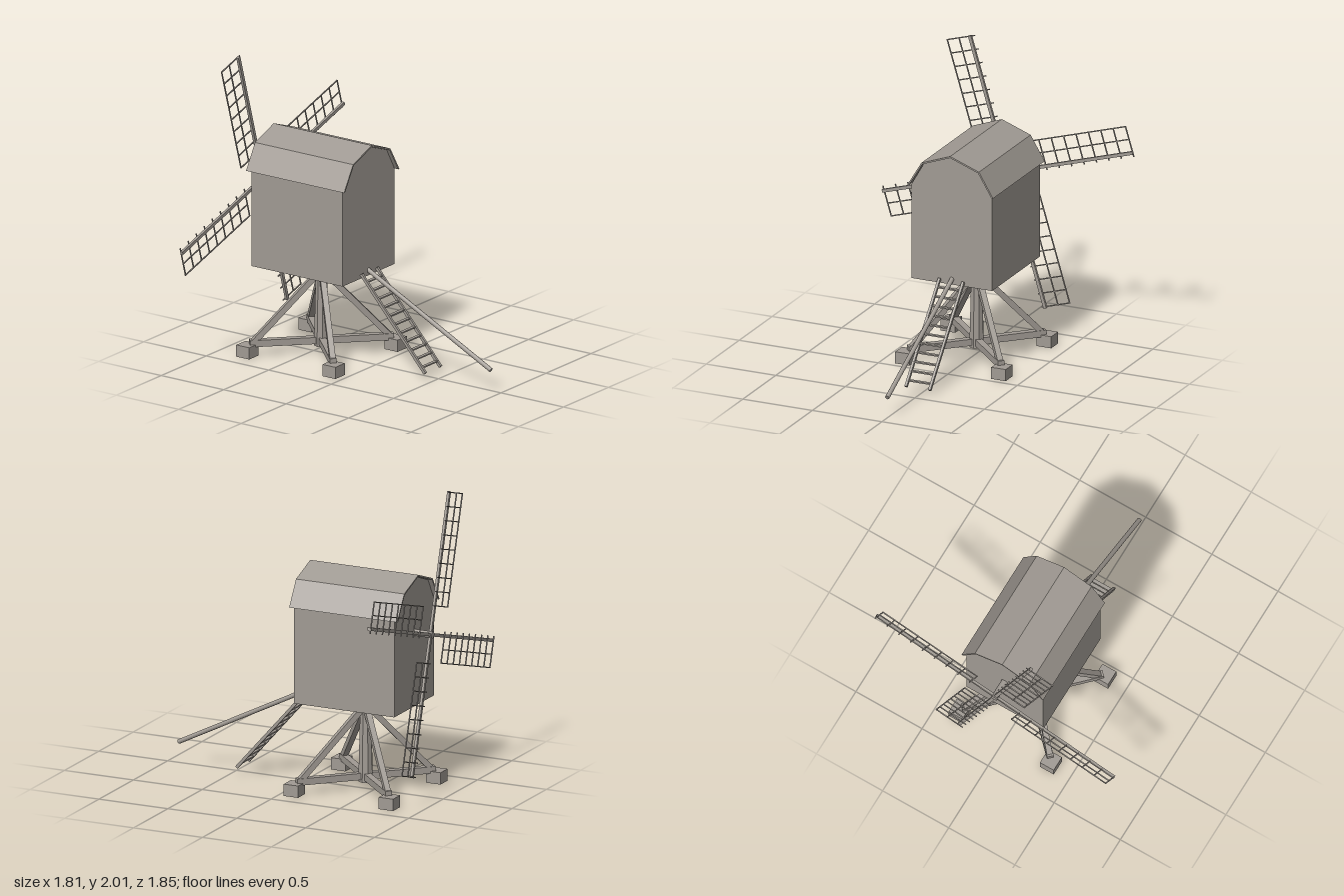
import * as THREE from 'three';

const weathered = new THREE.MeshStandardMaterial({ color: 0xa09a93 });
weathered.name = 'weathered wood';

const V = (x, y, z) => new THREE.Vector3(x, y, z);

function add(parent, name, geometry, x = 0, y = 0, z = 0) {
  const mesh = new THREE.Mesh(geometry, weathered);
  mesh.name = name;
  mesh.position.set(x, y, z);
  parent.add(mesh);
  return mesh;
}

const box = (parent, name, w, h, d, x, y, z) =>
  add(parent, name, new THREE.BoxGeometry(w, h, d), x, y, z);

// Square timber between two points; its local x stays level
function beam(parent, name, a, b, w, h = w) {
  const mid = a.clone().add(b).multiplyScalar(0.5);
  const mesh = box(parent, name, w, h, a.distanceTo(b), mid.x, mid.y, mid.z);
  mesh.lookAt(b);
  return mesh;
}

// Round pole between two points
function pole(parent, name, a, b, r) {
  const mid = a.clone().add(b).multiplyScalar(0.5);
  const mesh = add(parent, name, new THREE.CylinderGeometry(r, r, a.distanceTo(b), 10), mid.x, mid.y, mid.z);
  mesh.quaternion.setFromUnitVectors(V(0, 1, 0), b.clone().sub(a).normalize());
  return mesh;
}

function extrude(points, depth) {
  const shape = new THREE.Shape(points.map(([x, y]) => new THREE.Vector2(x, y)));
  return new THREE.ExtrudeGeometry(shape, { depth, bevelEnabled: false });
}

function buildHouse(group) {
  // Gabled body with its walls rising into the roof
  const body = [[-0.29, 0.6], [0.29, 0.6], [0.29, 1.25], [0.2, 1.405], [0, 1.48], [-0.2, 1.405], [-0.29, 1.25]];
  add(group, 'body', extrude(body, 0.73), 0, 0, -0.79);

  // Thin two-pitch roof overhanging on all sides
  const roof = [[0.308, 1.25], [0.207, 1.417], [0, 1.493], [-0.207, 1.417], [-0.308, 1.25],
    [-0.296, 1.25], [-0.2, 1.408], [0, 1.482], [0.2, 1.408], [0.296, 1.25]];
  add(group, 'roof', extrude(roof, 0.785), 0, 0, -0.82);
}

function buildTrestle(group) {
  const zc = -0.437;
  const post = new THREE.CylinderGeometry(0.036, 0.05, 0.56, 8).toNonIndexed();
  post.computeVertexNormals();
  add(group, 'post', post, 0, 0.33, zc);

  for (const sx of [-1, 1]) {
    // Crossing ground beams
    beam(group, 'crossBeam', V(-0.335 * sx, 0.088, zc - 0.335), V(0.335 * sx, 0.088, zc + 0.335), 0.045, 0.045);
    for (const sz of [-1, 1]) {
      box(group, 'foot', 0.104, 0.08, 0.104, 0.345 * sx, 0.04, zc + 0.345 * sz);
      beam(group, 'brace', V(0.32 * sx, 0.09, zc + 0.32 * sz), V(0.02 * sx, 0.54, zc + 0.02 * sz), 0.038);
    }
  }
}

function buildLadder(group) {
  const top = V(0, 0.63, -0.055), foot = V(0, 0.05, 0.455);
  for (const x of [-0.085, 0.085]) {
    beam(group, 'ladderRail', top.clone().setX(x), foot.clone().setX(x), 0.017, 0.02);
  }
  const treads = 11;
  for (let i = 0; i < treads; i++) {
    const p = top.clone().lerp(foot, (i + 0.9) / (treads + 0.6));
    box(group, 'ladderTread', 0.16, 0.009, 0.024, 0, p.y, p.z);
  }
}

// One lattice sail along +x, with its frame on the +y side
function buildSail() {
  const sail = new THREE.Group();
  sail.name = 'sail';
  box(sail, 'spar', 0.94, 0.022, 0.018, 0.47, 0, 0.003);
  const bars = 9, step = 0.093, tip = 0.933;
  const inner = tip - (bars - 1) * step;
  for (let i = 0; i < bars; i++) {
    box(sail, 'sailBar', 0.007, 0.21, 0.007, tip - i * step, 0.075, -0.008);
  }
  for (const y of [0.09, 0.178]) {
    box(sail, 'sailLath', tip - inner + 0.007, 0.007, 0.007, (tip + inner) / 2, y, -0.009);
  }
  return sail;
}

export function createModel() {
  const model = new THREE.Group();
  model.name = 'windmill';

  buildHouse(model);
  buildTrestle(model);
  buildLadder(model);

  // Tail pole used to turn the house
  pole(model, 'tailPole', V(0, 0.64, -0.07), V(0, 0.14, 0.92), 0.015);

  // Wind shaft and four sails
  pole(model, 'windShaft', V(0, 1.1, -0.78), V(0, 1.1, -0.925), 0.023);
  const sails = new THREE.Group();
  sails.name = 'sails';
  sails.position.set(0, 1.1, -0.911);
  for (let i = 0; i < 4; i++) {
    const sail = buildSail();
    sail.rotation.z = 0.293 + i * Math.PI / 2;
    sails.add(sail);
  }
  model.add(sails);

  return model;
}
